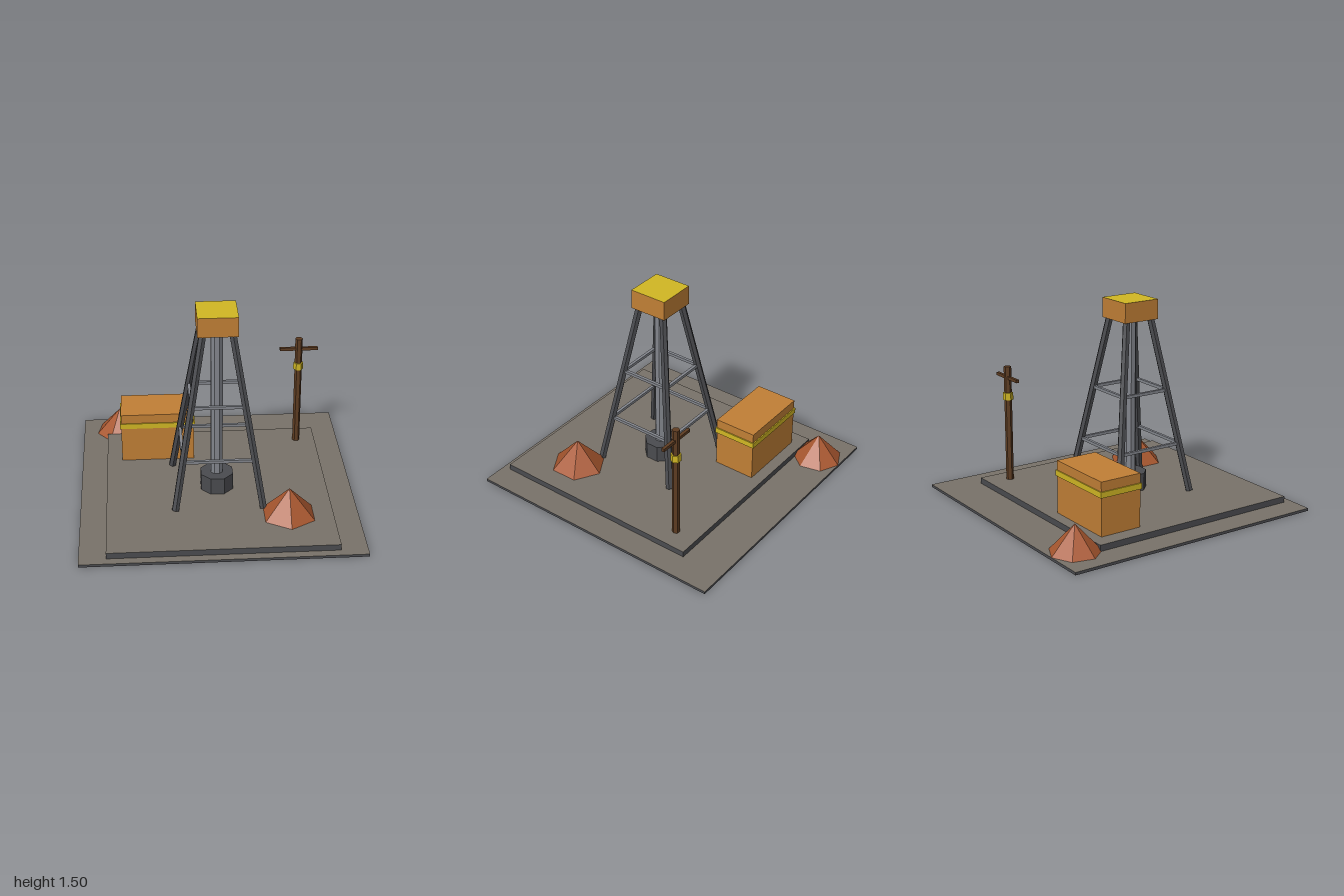
import * as THREE from 'three';

const mat = (name, color) => {
  const m = new THREE.MeshStandardMaterial({ color, flatShading: true });
  m.name = name;
  return m;
};

export function createModel() {
  const earth = mat('packed earth', 0x7a736a);
  const darkSteel = mat('dark steel', 0x4b4c50);
  const steel = mat('steel', 0x84878e);
  const orange = mat('orange paint', 0xc28036);
  const yellow = mat('yellow paint', 0xd2b824);
  const rust = mat('rusty soil', 0xa8572f);
  const wood = mat('wood', 0x5f3d22);

  const model = new THREE.Group();
  model.name = 'drillSite';

  const add = (name, geometry, material, x = 0, y = 0, z = 0, parent = model) => {
    const mesh = new THREE.Mesh(geometry, material);
    mesh.name = name;
    mesh.position.set(x, y, z);
    parent.add(mesh);
    return mesh;
  };
  const box = (w, h, d) => new THREE.BoxGeometry(w, h, d);
  // side colour on the walls, cap colour on top and bottom
  const capped = (side, cap) => [side, side, cap, cap, side, side];
  // prism with the given number of sides, standing on its base
  const prism = (r, h, sides, turn = 0) =>
    new THREE.CylinderGeometry(r, r, h, sides).rotateY(turn).translate(0, h / 2, 0);

  // Ground and raised pad
  add('ground', box(2, 0.02, 2), capped(darkSteel, earth), 0, 0.01, 0);
  add('pad', box(1.62, 0.045, 1.62), capped(darkSteel, earth), 0, 0.0425, 0.13);
  const floor = 0.065;

  // Derrick
  const derrick = new THREE.Group();
  derrick.name = 'derrick';
  derrick.position.z = 0.13;
  model.add(derrick);

  const footY = 0.07, topY = 1.36, footOut = 0.316, topOut = 0.104;
  const legOut = y => THREE.MathUtils.mapLinear(y, footY, topY, footOut, topOut);
  const up = new THREE.Vector3(0, 1, 0);
  for (const sx of [-1, 1]) for (const sz of [-1, 1]) {
    const foot = new THREE.Vector3(sx * footOut, footY, sz * footOut);
    const top = new THREE.Vector3(sx * topOut, topY, sz * topOut);
    const span = top.clone().sub(foot);
    const leg = add('leg', prism(0.028, span.length(), 6), darkSteel, foot.x, foot.y, foot.z, derrick);
    leg.quaternion.setFromUnitVectors(up, span.normalize());
  }
  // Horizontal braces at two levels
  for (const y of [0.43, 0.83]) {
    const out = legOut(y);
    for (const s of [-1, 1]) {
      add('brace', box(out * 2, 0.022, 0.022), steel, 0, y, s * out, derrick);
      add('brace', box(0.022, 0.022, out * 2), steel, s * out, y, 0, derrick);
    }
  }
  add('wellHub', prism(0.126, 0.195 - floor, 8, Math.PI / 8), darkSteel, 0, floor, 0, derrick);
  add('drillPipe', prism(0.046, 1.19, 8, Math.PI / 8), steel, 0, 0.17, 0, derrick);
  add('crown', box(0.286, 0.145, 0.286), capped(orange, yellow), 0, 1.4225, 0, derrick);

  // Equipment shed with a band
  add('shed', box(0.548, 0.39, 0.32), orange, -0.422, floor + 0.195, -0.435);
  add('shedBand', box(0.566, 0.042, 0.336), yellow, -0.422, 0.364, -0.435);

  // Utility pole
  const px = 0.665, pz = -0.508, turn = Math.PI / 6;
  add('pole', prism(0.028, 0.945 - floor, 6, turn), wood, px, floor, pz);
  add('poleCollar', prism(0.038, 0.055, 6, turn), yellow, px, 0.69, pz);
  add('poleCrossbar', box(0.288, 0.023, 0.023), wood, px, 0.86, pz);

  // Spoil heaps
  const heap = (r, h, sides, x, y, z, rot) =>
    add('spoilHeap', new THREE.ConeGeometry(r, h, sides).rotateY(rot).translate(0, h / 2, 0), rust, x, y, z);
  heap(0.202, 0.213, 6, 0.49, floor, 0.535, 0);
  heap(0.183, 0.198, 7, -0.713, 0.02, -0.817, Math.PI);

  return model;
}
